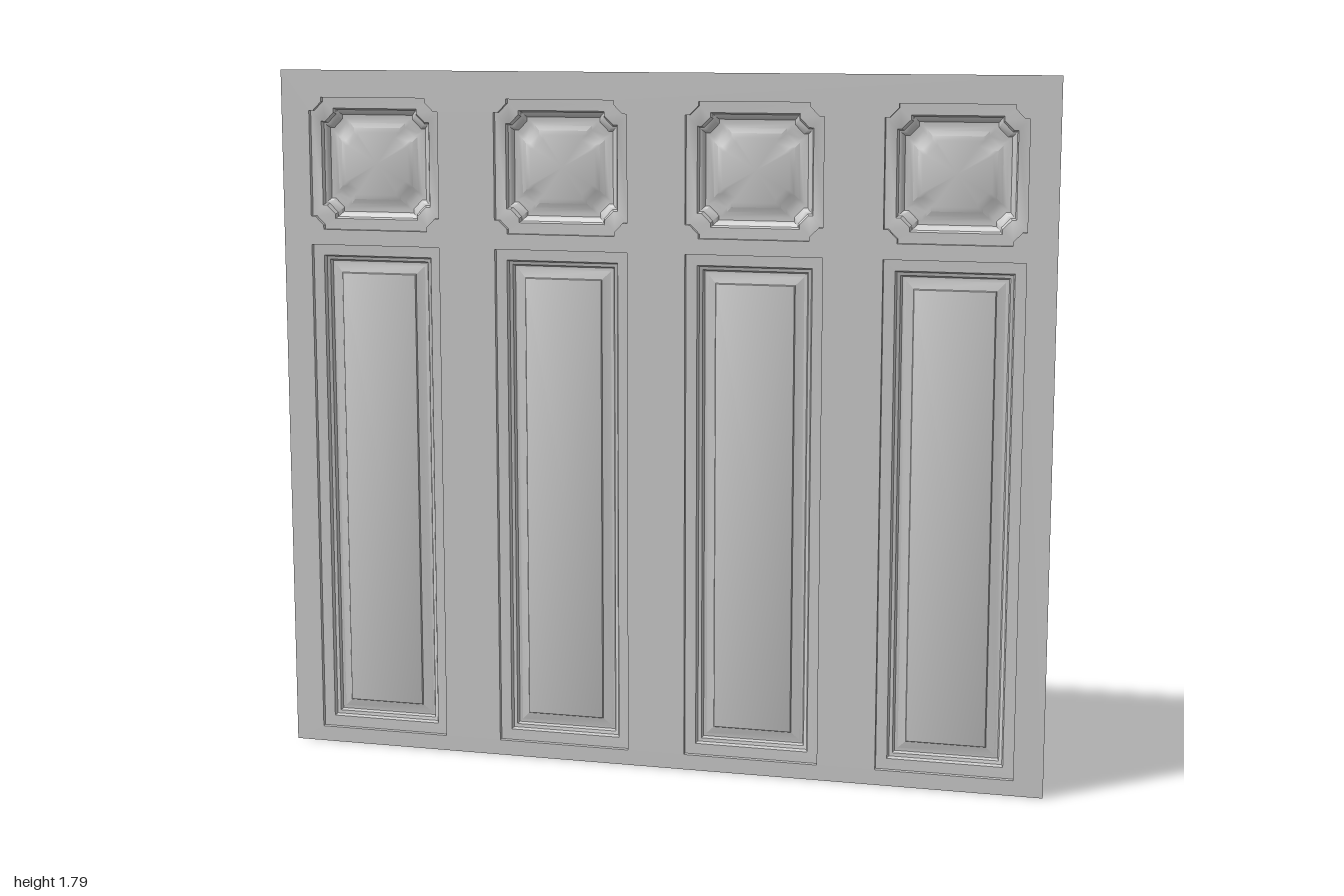
import * as THREE from 'three';
import { toCreasedNormals } from 'three/addons/utils/BufferGeometryUtils.js';

const FACE = 0.018; // front plane of the wall sheet
const HEIGHT = 1.79;
const COLUMNS = [-0.75, -0.25, 0.25, 0.75];
const TALL = { y: 0.69, w: 0.175, h: 0.65 };
const TILE = { y: 1.55, w: 0.175, h: 0.17 };

// moulding profiles: [inset from the opening, z]
const tallProfile = [
  [0, FACE], [0, 0.005], [0.028, 0.004], [0.032, -0.006], [0.04, -0.009],
  [0.044, -0.018], [0.052, -0.018], [0.073, -0.008], [0.075, -0.004],
];
const tileProfile = [
  [0, FACE], [0, 0.005], [0.028, 0.004], [0.032, -0.006], [0.04, -0.01],
  [0.045, -0.017], [0.055, -0.018], [0.066, -0.016], [0.078, -0.01], [0.09, -0.006],
];

// plain rectangular outline, counter-clockwise
function rectangle({ w, h }, inset) {
  const a = w - inset, b = h - inset;
  return [[a, -b], [a, b], [-a, b], [-a, -b]];
}

// outline whose corners are cut by a small stepped chamfer
function notched({ w, h }, inset) {
  const a = w - inset, b = h - inset, n = 0.034, s = 0.011;
  const corner = [[a, b - n], [a - s, b - n], [a - n, b - s], [a - n, b]];
  const flip = (sx, sy) => corner.map(([x, y]) => [x * sx, y * sy]);
  return [
    ...flip(1, -1).reverse(), ...corner,
    ...flip(-1, 1).reverse(), ...flip(-1, -1),
  ];
}

// skin the moulding between successive insets, then close the centre field
function mouldedPanel(size, outline, profile) {
  const rings = profile.map(([inset, z]) => outline(size, inset).map(([x, y]) => [x, y, z]));
  const count = rings[0].length;
  const points = [];
  for (let r = 0; r < rings.length - 1; r++) {
    for (let i = 0; i < count; i++) {
      const j = (i + 1) % count;
      const a = rings[r][i], b = rings[r][j], c = rings[r + 1][j], d = rings[r + 1][i];
      points.push(...a, ...b, ...c, ...a, ...c, ...d);
    }
  }
  const last = rings[rings.length - 1];
  for (let i = 0; i < count; i++) {
    points.push(0, 0, last[0][2], ...last[i], ...last[(i + 1) % count]);
  }
  const geometry = new THREE.BufferGeometry();
  geometry.setAttribute('position', new THREE.Float32BufferAttribute(points, 3));
  geometry.computeVertexNormals();
  return toCreasedNormals(geometry, 0.6);
}

export function createModel() {
  const model = new THREE.Group();
  model.name = 'wallPanelling';
  const material = new THREE.MeshStandardMaterial({ color: 0xcccccc, side: THREE.DoubleSide });

  const add = (name, geometry, x, y, z) => {
    const mesh = new THREE.Mesh(geometry, material);
    mesh.name = name;
    mesh.position.set(x, y, z);
    model.add(mesh);
  };

  // thin wall sheet with an opening for every panel
  const sheet = new THREE.Shape([[-1, 0], [1, 0], [1, HEIGHT], [-1, HEIGHT]]
    .map(([x, y]) => new THREE.Vector2(x, y)));
  const cutOpening = (size, outline, x) => {
    const edge = outline(size, 0).map(([px, py]) => new THREE.Vector2(px + x, py + size.y));
    sheet.holes.push(new THREE.Path(edge.reverse()));
  };

  const tallGeometry = mouldedPanel(TALL, rectangle, tallProfile);
  const tileGeometry = mouldedPanel(TILE, notched, tileProfile);

  // four columns, each a tall panel below a square one
  for (const x of COLUMNS) {
    cutOpening(TALL, rectangle, x);
    cutOpening(TILE, notched, x);
    add('tallPanel', tallGeometry, x, TALL.y, 0);
    add('squarePanel', tileGeometry, x, TILE.y, 0);
  }
  add('wallSheet', new THREE.ShapeGeometry(sheet), 0, 0, FACE);

  return model;
}
